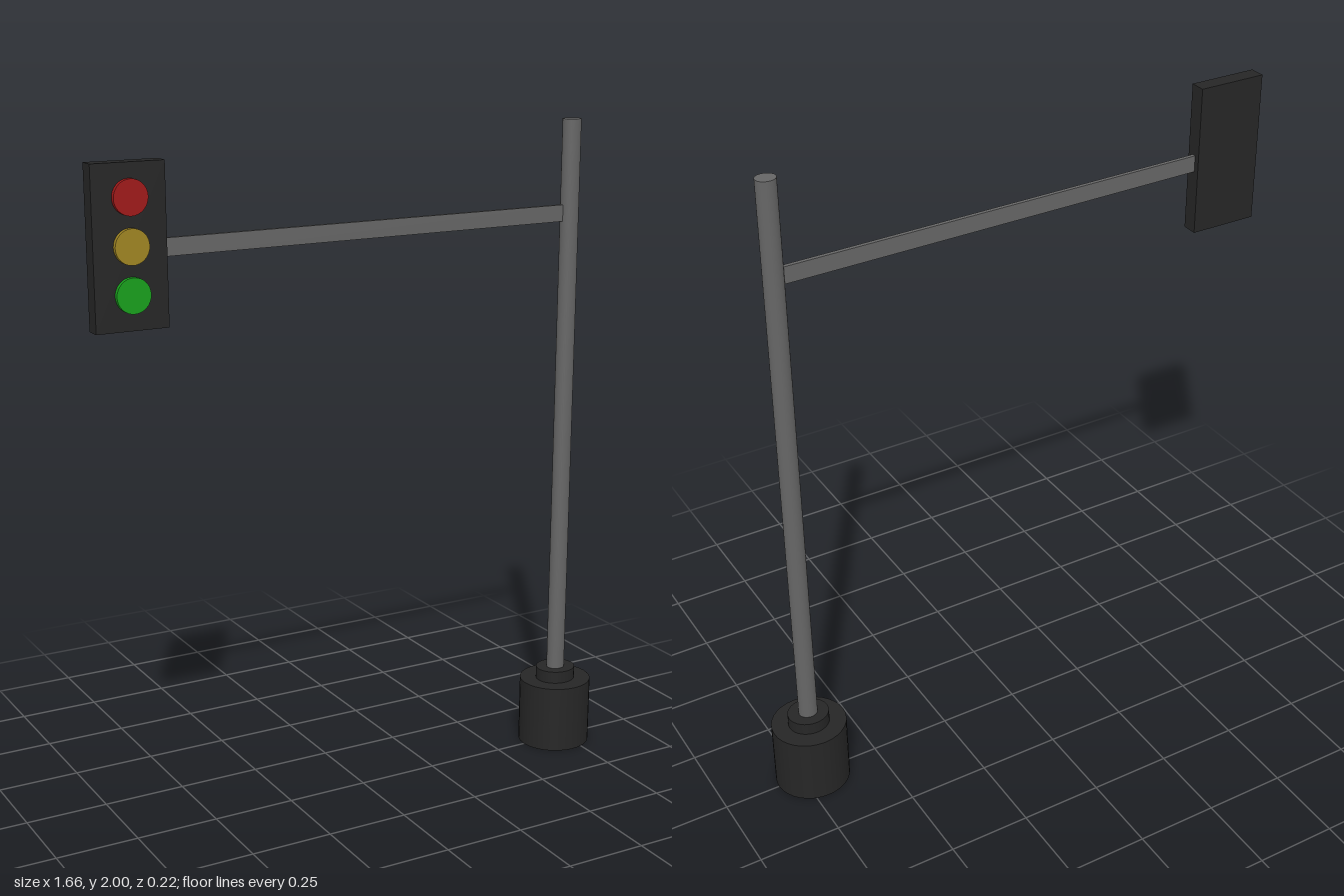
import * as THREE from 'three';

export function createModel() {
  const model = new THREE.Group();
  const paint = (color) => new THREE.MeshStandardMaterial({ color });
  const black = paint(0x262626);
  const steel = paint(0x666666);

  const add = (name, geometry, material, x, y, z) => {
    const mesh = new THREE.Mesh(geometry, material);
    mesh.name = name;
    mesh.position.set(x, y, z);
    model.add(mesh);
    return mesh;
  };

  // Slightly oval upright cylinder standing between two heights
  const poleX = 0.713;
  const upright = (name, rx, rz, y0, y1, material) => {
    const geometry = new THREE.CylinderGeometry(rx, rx, y1 - y0, 32);
    geometry.scale(1, 1, rz / rx);
    add(name, geometry, material, poleX, (y0 + y1) / 2, 0);
  };
  upright('base', 0.114, 0.11, 0, 0.212, black);
  upright('collar', 0.063, 0.058, 0.212, 0.25, black);
  upright('pole', 0.029, 0.026, 0.25, 2, steel);

  // Thin flat arm, angled slightly forward to the signal
  const start = new THREE.Vector3(0.70, 1.72, 0);
  const end = new THREE.Vector3(-0.63, 1.72, 0.02);
  const mid = start.clone().lerp(end, 0.5);
  const arm = add('arm', new THREE.BoxGeometry(start.distanceTo(end), 0.05, 0.012), steel, mid.x, mid.y, mid.z);
  arm.rotation.y = Math.atan2(end.z - start.z, start.x - end.x);

  // Signal housing with three round lamps on its front
  add('signalHousing', new THREE.BoxGeometry(0.21, 0.448, 0.048), black, -0.727, 1.73, 0.021);
  const lamps = [['redLamp', 0xa01818, 1.863], ['yellowLamp', 0xa08522, 1.733], ['greenLamp', 0x18a01c, 1.603]];
  for (const [name, color, y] of lamps) {
    const lens = new THREE.CylinderGeometry(0.049, 0.049, 0.03, 32);
    lens.rotateX(Math.PI / 2);
    add(name, lens, paint(color), -0.726, y, 0.044);
  }
  return model;
}
